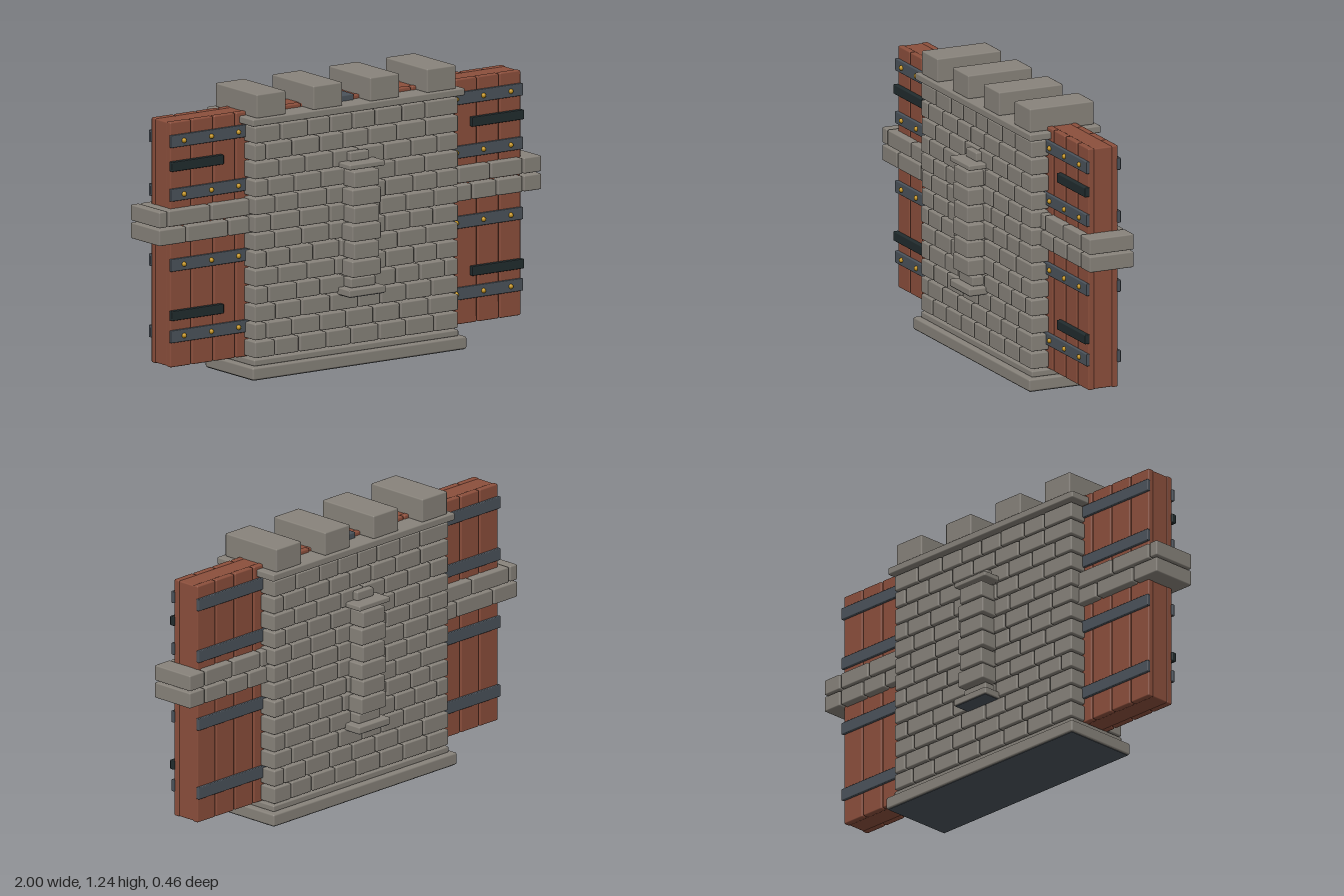
import * as THREE from 'three';
import { RoundedBoxGeometry } from 'three/addons/geometries/RoundedBoxGeometry.js';

const mat = (name, color) => {
  const m = new THREE.MeshStandardMaterial({ color });
  m.name = name;
  return m;
};

export function createModel() {
  const root = new THREE.Group();
  root.name = 'fortifiedGate';
  const stone = mat('stone', 0x88837b);
  const wood = mat('wood', 0x8c4f3c);
  const iron = mat('iron', 0x4b535b);
  const black = mat('blackIron', 0x212c2e);
  const brass = mat('brass', 0xc6951f);

  // Chamfered block given by its two corners
  const block = (parent, name, material, x0, x1, y0, y1, z0, z1, bevel = 0.006) => {
    const w = x1 - x0, h = y1 - y0, d = z1 - z0;
    const r = Math.min(bevel, w * 0.3, h * 0.3, d * 0.3);
    const mesh = new THREE.Mesh(new RoundedBoxGeometry(w, h, d, 1, r), material);
    mesh.name = name;
    mesh.position.set((x0 + x1) / 2, (y0 + y1) / 2, (z0 + z1) / 2);
    parent.add(mesh);
    return mesh;
  };
  const group = (name) => {
    const g = new THREE.Group();
    g.name = name;
    root.add(g);
    return g;
  };
  let seed = 7;
  const rand = () => (seed = (seed * 16807) % 2147483647) / 2147483647;

  // Wooden gate: core with planks on both faces
  const gate = group('gate');
  block(gate, 'gateCore', wood, -0.915, 0.915, 0.087, 1.148, -0.045, 0.045);
  const pitch = 1.84 / 16;
  for (let i = 0; i < 16; i++) {
    const x = -0.92 + i * pitch;
    for (const s of [-1, 1]) {
      const z = s * 0.0555;
      block(gate, 'plank', wood, x + 0.003, x + pitch - 0.003, 0.085, 1.15, z - 0.0145, z + 0.0145);
    }
  }

  // Iron straps on both faces, with studs on the front
  const ironwork = group('ironwork');
  const studGeo = new THREE.SphereGeometry(0.011, 8, 6);
  for (const y of [0.22, 0.53, 0.835, 1.068]) {
    for (const s of [-1, 1]) {
      block(ironwork, 'strap', iron, -0.922, 0.922, y - 0.027, y + 0.027, s * 0.074 - 0.008, s * 0.074 + 0.008, 0.004);
      for (const x of [0.57, 0.712, 0.855]) {
        const stud = new THREE.Mesh(studGeo, brass);
        stud.name = 'stud';
        stud.position.set(s * x, y, 0.084);
        ironwork.add(stud);
      }
    }
  }
  for (const y of [0.312, 0.96]) {
    block(ironwork, 'leftHinge', black, 0.65, 0.922, y - 0.021, y + 0.021, 0.066, 0.09, 0.004);
    block(ironwork, 'rightHinge', black, -0.922, -0.65, y - 0.021, y + 0.021, 0.066, 0.09, 0.004);
  }
  block(ironwork, 'centreStrap', iron, -0.035, 0.035, 0.085, 1.16, -0.083, 0.083);

  // Brick courses on each face, the back being the front turned half round
  const COURSE = 0.0777, FIRST = 0.088, HALF = 0.535;
  const front = new THREE.Group();
  front.name = 'frontWall';
  for (let row = 0; row < 13; row++) {
    const y = FIRST + row * COURSE;
    let x = -HALF;
    let width = row % 2 ? 0.065 + rand() * 0.03 : 0.11 + rand() * 0.04;
    while (x < HALF - 0.01) {
      let end = x + width;
      if (HALF - end < 0.05) end = HALF;
      const z = 0.149 + rand() * 0.003;
      block(front, 'brick', stone, x + 0.0035, end - 0.0035, y + 0.003, y + COURSE - 0.004, 0.068, z);
      x = end;
      width = 0.115 + rand() * 0.04;
    }
  }

  // Pilaster with stepped foot and cap
  for (let i = 0; i < 6; i++) {
    const y = FIRST + (i + 4) * COURSE - 0.006;
    const w = i % 2 ? 0.066 : 0.075;
    block(front, 'pilasterBlock', stone, -w, w, y + 0.003, y + COURSE - 0.004, 0.14, 0.226);
  }
  block(front, 'pilasterFoot', stone, -0.096, 0.096, 0.314, 0.346, 0.14, 0.231);
  block(front, 'pilasterFootStep', stone, -0.065, 0.065, 0.346, 0.388, 0.14, 0.2);
  block(front, 'pilasterCap', stone, -0.093, 0.093, 0.866, 0.89, 0.14, 0.231);
  block(front, 'pilasterCrown', stone, -0.05, 0.05, 0.89, 0.93, 0.14, 0.176);
  block(front, 'pilasterUnderside', iron, -0.09, 0.09, 0.312, 0.317, 0.15, 0.226, 0.001);
  root.add(front);
  const back = front.clone();
  back.name = 'backWall';
  back.rotation.y = Math.PI;
  root.add(back);

  // Two stone courses running out past both gate ends
  const bar = group('sideCourses');
  const lower = FIRST + 7 * COURSE, upper = lower + COURSE;
  const joints = [
    [lower, [-1, -0.855, -0.635, -0.5], [0.5, 0.64, 0.77, 0.905, 1]],
    [upper, [-1, -0.953, -0.728, -0.5], [0.5, 0.565, 0.735, 0.905, 1]],
  ];
  for (const [y, ...sides] of joints)
    for (const xs of sides)
      for (let i = 0; i < xs.length - 1; i++)
        block(bar, 'sideBlock', stone, xs[i] + (i ? 0.004 : 0), xs[i + 1] - (xs[i + 1] < 1 ? 0.004 : 0),
          y - 0.004, y + COURSE - 0.012, -0.105, 0.105);

  // Plinth with dark underside
  const plinth = group('plinth');
  block(plinth, 'plinthSlab', stone, -0.56, 0.56, 0.002, 0.056, -0.175, 0.175, 0.008);
  block(plinth, 'plinthUnderside', iron, -0.553, 0.553, 0, 0.006, -0.168, 0.168, 0.001);
  block(plinth, 'plinthStep', stone, -0.535, 0.535, 0.056, 0.084, -0.15, 0.15);

  // Coping, pierced by the gate top, and merlons
  const top = group('battlement');
  block(top, 'coping', stone, -0.555, 0.555, 1.102, 1.134, -0.168, 0.168);
  for (const x of [-0.447, -0.15, 0.147, 0.444])
    block(top, 'merlon', stone, x - 0.076, x + 0.076, 1.132, 1.236, -0.152, 0.152);

  return root;
}
